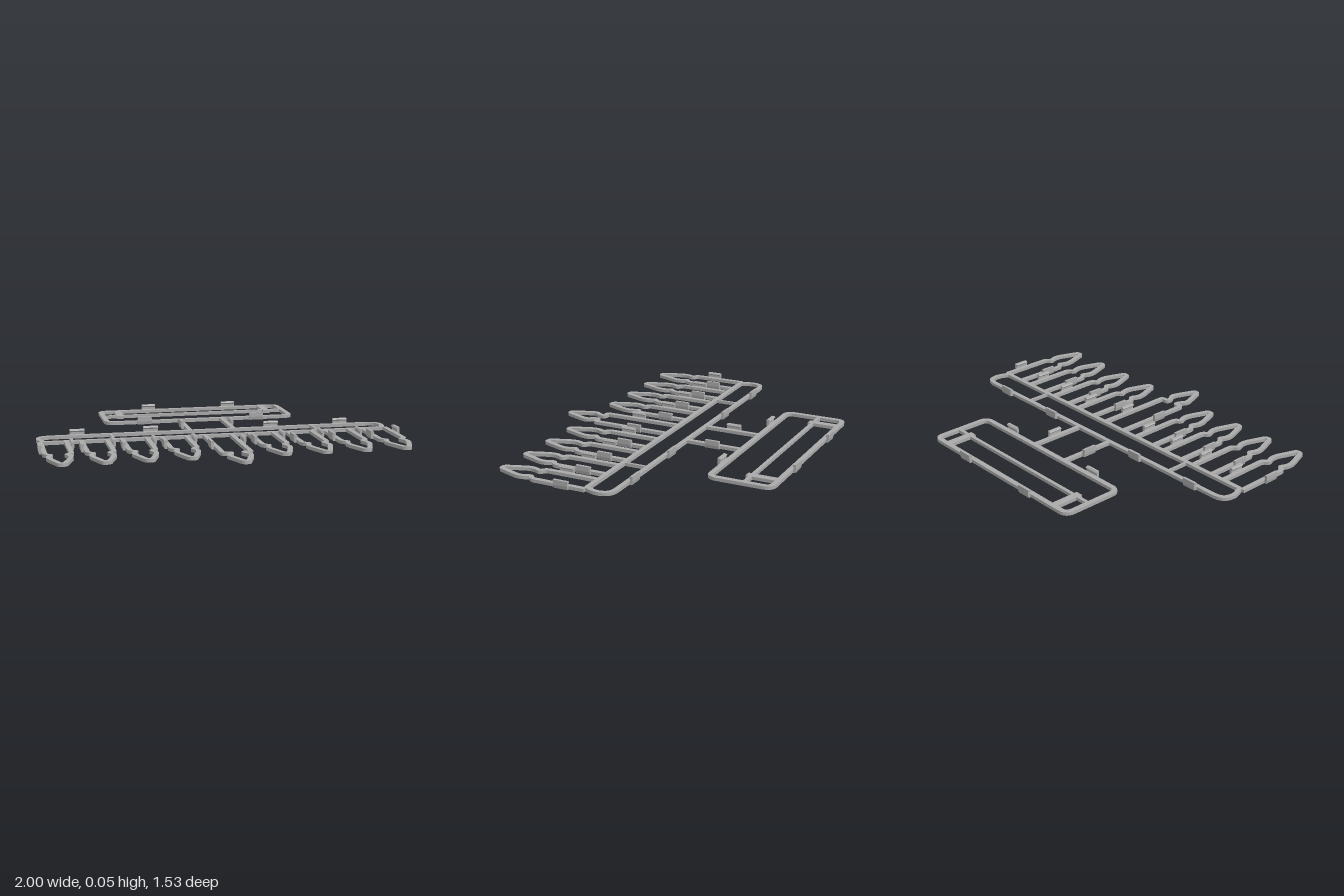
import * as THREE from 'three';

const T = 0.018; // frame thickness
const V = (x, y) => new THREE.Vector2(x, y);

// Round the corners of a polyline; each entry is [x, z, radius]
function rounded(pts, closed) {
  const out = [], n = pts.length;
  pts.forEach(([x, z, r = 0], i) => {
    const p = V(x, z);
    if (!r || (!closed && (i === 0 || i === n - 1))) { out.push(p); return; }
    const cut = ([qx, qz]) => {
      const d = V(qx, qz).sub(p);
      return p.clone().addScaledVector(d, Math.min(r, d.length() * 0.48) / d.length());
    };
    const curve = new THREE.QuadraticBezierCurve(cut(pts[(i + n - 1) % n]), p, cut(pts[(i + 1) % n]));
    out.push(...curve.getPoints(6));
  });
  return out;
}

// Offset a polyline sideways with mitred joints
function offset(pts, d, closed) {
  const n = pts.length;
  return pts.map((p, i) => {
    const a = closed || i > 0 ? pts[(i + n - 1) % n] : null;
    const b = closed || i < n - 1 ? pts[(i + 1) % n] : null;
    const t1 = a ? p.clone().sub(a).normalize() : b.clone().sub(p).normalize();
    const t2 = b ? b.clone().sub(p).normalize() : t1;
    const m = V(-t1.y - t2.y, t1.x + t2.x).normalize();
    const k = d / Math.max(0.5, m.dot(V(-t1.y, t1.x)));
    return p.clone().addScaledVector(m, k);
  });
}

// Flat strip following a centreline, lying on y = 0
function band(centre, width, closed = false) {
  const line = rounded(centre, closed);
  const left = offset(line, width / 2, closed), right = offset(line, -width / 2, closed);
  let shape;
  if (closed) {
    const flip = Math.abs(THREE.ShapeUtils.area(left)) > Math.abs(THREE.ShapeUtils.area(right));
    shape = new THREE.Shape(flip ? left : right);
    shape.holes.push(new THREE.Path(flip ? right : left));
  } else {
    shape = new THREE.Shape([...left, ...right.reverse()]);
  }
  const geo = new THREE.ExtrudeGeometry(shape, { depth: T, bevelEnabled: false });
  return geo.rotateX(Math.PI / 2).translate(0, T, 0);
}

// Snap clip: upright wall with a small lip leaning back over the strip
function clipGeometry() {
  const profile = [[-0.003, 0], [0.012, 0], [0.016, 0.018], [0.016, 0.045],
    [0.001, 0.045], [-0.005, 0.038], [0.002, 0.03], [0.002, 0.018], [-0.003, 0.018]];
  const shape = new THREE.Shape(profile.map(([x, y]) => V(x, y)));
  return new THREE.ExtrudeGeometry(shape, { depth: 0.082, bevelEnabled: false }).translate(0, 0, -0.041);
}

export function createModel() {
  const model = new THREE.Group();
  const grey = new THREE.MeshStandardMaterial({ color: 0xaaaaaa });
  grey.name = 'grey plastic';
  const add = (name, geo) => {
    const mesh = new THREE.Mesh(geo, grey);
    mesh.name = name;
    model.add(mesh);
    return mesh;
  };
  const bar = (name, x0, x1, z0, z1) =>
    add(name, new THREE.BoxGeometry(x1 - x0, T, z1 - z0).translate((x0 + x1) / 2, T / 2, (z0 + z1) / 2));

  // Rear rectangular frame with its rail and two tabs
  add('rearFrame', band([[-0.55, -0.738, 0.045], [0.55, -0.738, 0.045],
    [0.55, -0.394, 0.045], [-0.55, -0.394, 0.045]], 0.029, true));
  bar('rearRail', -0.54, 0.54, -0.6, -0.58);

  // Main crossbar with rounded ends
  add('crossbar', band([[-0.96, -0.062, 0.06], [0.96, -0.062, 0.06], [0.984, 0.01, 0.035],
    [0.955, 0.082, 0.01], [-0.955, 0.082, 0.01], [-0.984, 0.01, 0.035]], 0.026, true));

  for (const s of [-1, 1]) {
    bar('rearTab', s * 0.449 - 0.021, s * 0.449 + 0.021, -0.73, -0.564);
    bar('neckStrut', s * 0.125 - 0.013, s * 0.125 + 0.013, -0.394, -0.06);
    bar('crossbarDivider', s * 0.577 - 0.007, s * 0.577 + 0.007, -0.06, 0.08);
  }

  // Prongs: two legs, a pinched waist and a pointed loop
  const side = [[0.0685, 0.08], [0.0685, 0.39, 0.02], [0.039, 0.412, 0.012], [0.057, 0.452, 0.02],
    [0.056, 0.49, 0.02], [0.014, 0.61, 0.012]];
  const middle = [[0.075, 0.08], [0.075, 0.541, 0.012], [0.034, 0.543, 0.01], [0.034, 0.568, 0.01],
    [0.058, 0.605, 0.015], [0.056, 0.63, 0.02], [0.012, 0.749, 0.012]];
  const prong = (half) => band([...half.map(([x, z, r]) => [-x, z, r]), ...[...half].reverse()], 0.026);
  const sideGeo = prong(side);
  const prongX = [0.246, 0.466, 0.685, 0.904].flatMap((x) => [-x, x]);
  for (const x of prongX) add('prong', sideGeo).position.x = x;
  add('middleProng', prong(middle));

  // Snap clips; the angle turns the outward side from +x
  const clipGeo = clipGeometry();
  const clip = (x, z, angle) => {
    const mesh = add('clip', clipGeo);
    mesh.position.set(x, 0, z);
    mesh.rotation.y = angle;
  };
  const back = Math.PI / 2;
  for (const s of [-1, 1]) {
    clip(s * 0.249, -0.753, back);
    clip(s * 0.335, -0.381, -back);
    clip(s * 0.347, -0.077, back);
    clip(s * 0.759, -0.077, back);
    clip(s * 0.138, -0.23, s > 0 ? 0 : Math.PI);
  }
  for (const x of prongX) {
    clip(x - 0.081, 0.278, Math.PI);
    clip(x + 0.081, 0.207, 0);
  }
  clip(-0.088, 0.347, Math.PI);
  clip(0.088, 0.278, 0);
  return model;
}
